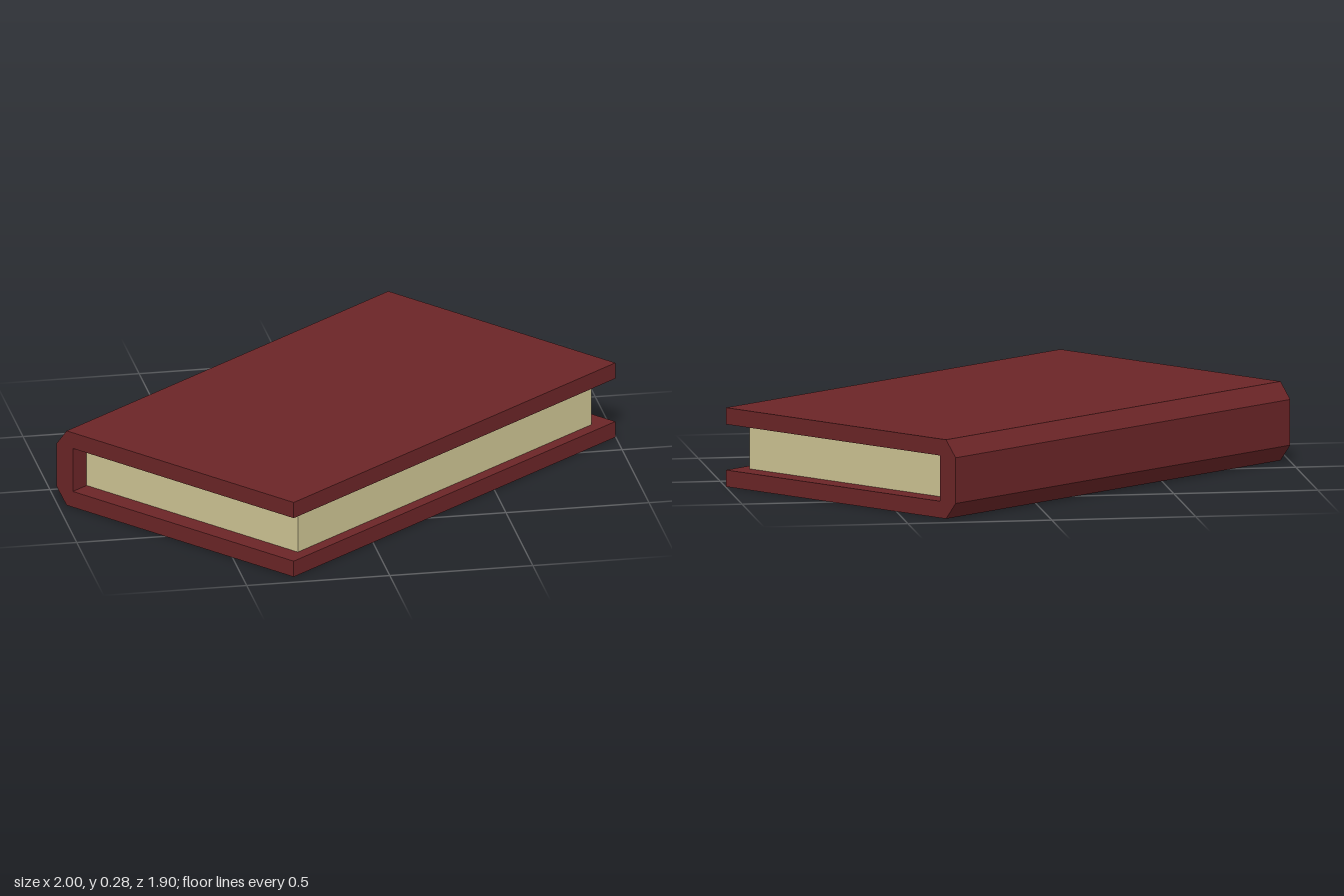
import * as THREE from 'three';

const LENGTH = 1.703, HALF_W = 0.535, HEIGHT = 0.275, BOARD = 0.058;

export function createModel() {
  const coverRed = new THREE.MeshStandardMaterial({ color: 0x6b2527 });
  coverRed.name = 'coverRed';
  const paperCream = new THREE.MeshStandardMaterial({ color: 0xcfc594 });
  paperCream.name = 'paperCream';

  const book = new THREE.Group();
  book.name = 'book';
  const add = (name, geometry, material) => {
    const mesh = new THREE.Mesh(geometry, material);
    mesh.name = name;
    book.add(mesh);
  };

  // Cover: C-shaped section with a chamfered spine, extruded along the spine
  const chamfer = 0.045, inner = -HALF_W + 0.073, top = HEIGHT - BOARD;
  const section = new THREE.Shape([
    [HALF_W, 0], [HALF_W, BOARD], [inner, BOARD], [inner, top],
    [HALF_W, top], [HALF_W, HEIGHT], [-HALF_W + chamfer, HEIGHT],
    [-HALF_W, top], [-HALF_W, BOARD], [-HALF_W + chamfer, 0],
  ].map(([x, y]) => new THREE.Vector2(x, y)));
  const cover = new THREE.ExtrudeGeometry(section, { depth: LENGTH, bevelEnabled: false });
  cover.translate(0, 0, -LENGTH / 2).rotateY(-Math.PI / 2);
  add('cover', cover, coverRed);

  // Page block: its top is full height only at one spine corner and sags elsewhere
  const pageHalf = 0.778, fore = 0.491;
  const pages = new THREE.BoxGeometry(2, 2, 2);
  const p = pages.attributes.position;
  for (let i = 0; i < p.count; i++) {
    const right = p.getX(i) > 0, front = p.getZ(i) > 0, up = p.getY(i) > 0;
    const back = right ? inner + 0.034 : inner;
    const topY = !right && !front ? top : 0.211;
    p.setXYZ(i, right ? pageHalf : -pageHalf, up ? topY : BOARD, front ? fore : back);
  }
  pages.computeVertexNormals();
  add('pages', pages, paperCream);

  // Binding strip between the pages and the spine
  const strip = new THREE.BoxGeometry(1.5, top - BOARD, 0.034);
  strip.translate(pageHalf + 0.005 - 0.75, HEIGHT / 2, inner + 0.017);
  add('bindingStrip', strip, coverRed);

  // The book lies turned on its back cover
  book.rotation.y = 0.679;
  const model = new THREE.Group();
  model.name = 'lyingBook';
  model.add(book);
  return model;
}
